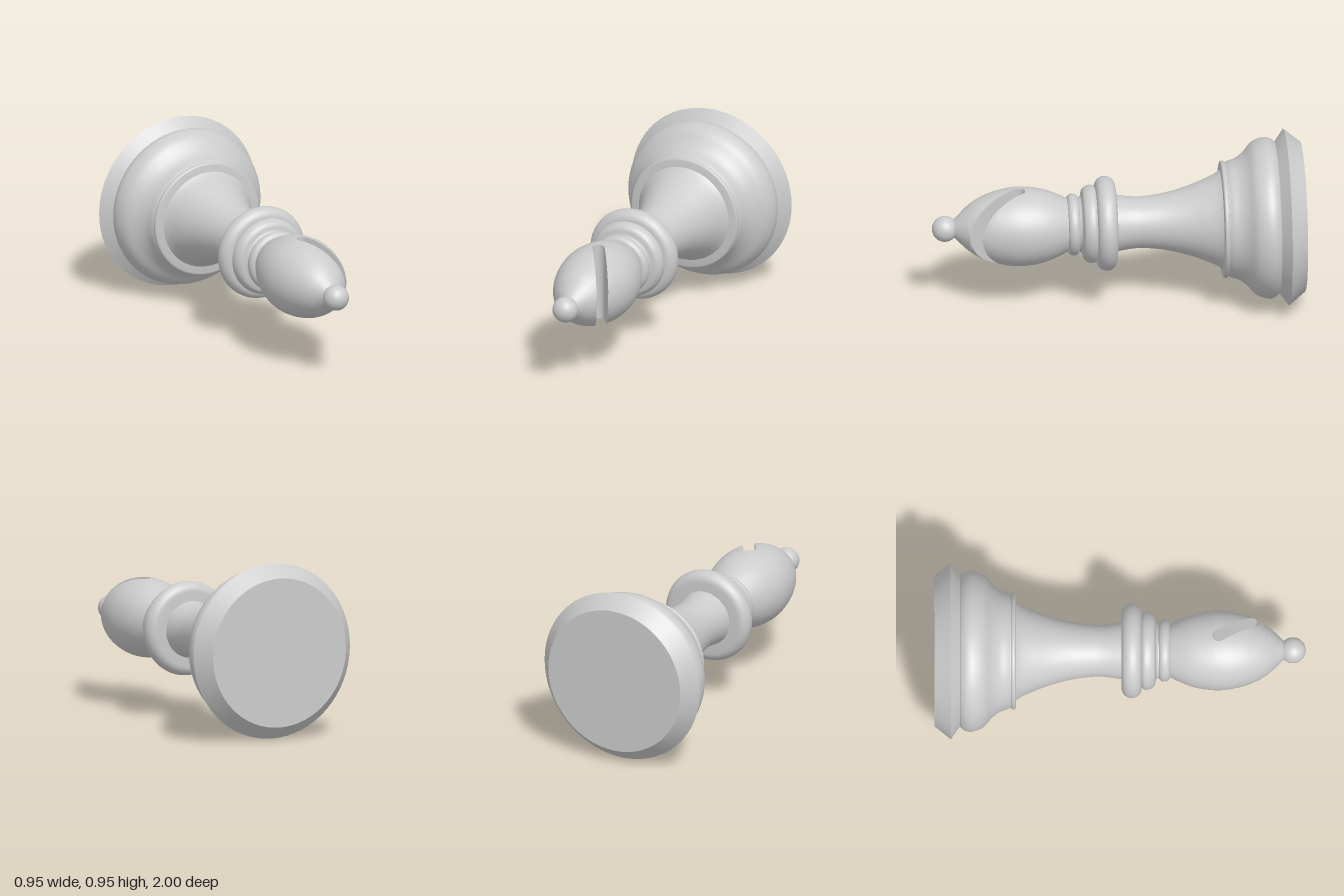
import * as THREE from 'three';
import { mergeGeometries, toCreasedNormals } from 'three/addons/utils/BufferGeometryUtils.js';

const AXIS_Y = 0.478; // height of the lying piece's axis
const grey = new THREE.MeshStandardMaterial({ color: 0xcccccc, side: THREE.DoubleSide });
const v2 = ([r, z]) => new THREE.Vector2(r, z);
const spline = (pts, n) => new THREE.SplineCurve(pts.map(v2)).getPoints(n);

// Creases are found at a larger scale, so fine detail is not welded together
function crease(geo, angle = 0.7) {
  geo.scale(10, 10, 10);
  const out = toCreasedNormals(geo, angle);
  return out.scale(0.1, 0.1, 0.1);
}

// Half-round bead profile from z0 to z1, bulging from rIn to rOut
function bead(rIn, rOut, z0, z1, n = 12) {
  const pts = [];
  for (let i = 0; i <= n; i++) {
    const a = -Math.PI / 2 + (Math.PI * i) / n;
    pts.push(v2([rIn + (rOut - rIn) * Math.cos(a), (z0 + z1) / 2 + ((z1 - z0) / 2) * Math.sin(a)]));
  }
  return pts;
}

// Turned part: profile of (radius, z), spun about the z axis
function turned(name, profile) {
  const geo = new THREE.LatheGeometry(profile, 64).rotateX(Math.PI / 2);
  const mesh = new THREE.Mesh(crease(geo), grey);
  mesh.name = name;
  return mesh;
}

// Head outline, looked up as radius at z
const headProfile = spline([[0.13, 0.25], [0.15, 0.28], [0.196, 0.39], [0.215, 0.52], [0.2, 0.64],
  [0.168, 0.73], [0.126, 0.8], [0.07, 0.86], [0.045, 0.885]], 80);
function headRadius(z) {
  const i = Math.max(1, headProfile.findIndex((p) => p.y >= z - 1e-9));
  const a = headProfile[i - 1], b = headProfile[i];
  return THREE.MathUtils.lerp(a.x, b.x, (z - a.y) / (b.y - a.y));
}

// Slanted slot with a round end: x of its two walls at z
const slot = { x: 0.008, z: 0.53, r: 0.033, cos: Math.cos(Math.PI / 6), sin: Math.sin(Math.PI / 6) };
function slotWall(z, side) {
  const { x, z: cz, r, cos, sin } = slot;
  const tangentZ = cz - side * r * sin;
  if (z < tangentZ) return x + side * Math.sqrt(Math.max(0, r * r - (z - cz) ** 2));
  return x + side * r * cos + ((z - tangentZ) * sin) / cos;
}

// Loft of circular sections cut by a vertical chord; side -1 keeps x < cut, +1 keeps x > cut
function cutLoft(zs, cutAt, side) {
  const ARC = 56, CHORD = 8, cols = ARC + CHORD, pos = [], index = [];
  zs.forEach((z, i) => {
    const R = headRadius(z);
    const cut = THREE.MathUtils.clamp(cutAt(z), -R, R);
    const a = Math.acos(cut / R);
    const from = side < 0 ? a : -a;
    const to = side < 0 ? 2 * Math.PI - a : a;
    const h = R * Math.sin(a);
    for (let j = 0; j <= ARC; j++) {
      const t = from + ((to - from) * j) / ARC;
      pos.push(R * Math.cos(t), R * Math.sin(t), z);
    }
    for (let j = 1; j < CHORD; j++) pos.push(cut, side * h * (1 - (2 * j) / CHORD), z);
    if (i === 0) return;
    for (let j = 0; j < cols; j++) {
      const k = (j + 1) % cols, p = (i - 1) * cols, q = i * cols;
      index.push(p + j, p + k, q + k, p + j, q + k, q + j);
    }
  });
  const geo = new THREE.BufferGeometry();
  geo.setAttribute('position', new THREE.Float32BufferAttribute(pos, 3));
  geo.setIndex(index);
  return geo;
}

// Rows from z0 to z1, packed closer near z0
const rows = (z0, z1, n, power = 1) =>
  Array.from({ length: n + 1 }, (_, i) => z0 + (z1 - z0) * (i / n) ** power);

export function createModel() {
  const model = new THREE.Group();
  model.name = 'bishopChessPiece';
  const body = new THREE.Group();
  body.name = 'body';
  body.position.y = AXIS_Y;
  model.add(body);

  // Foot: flat underside, sharp rim, rounded shoulder and a small lip
  body.add(turned('base', [
    ...[[0, -1], [0.405, -1], [0.476, -0.912], [0.405, -0.862]].map(v2),
    ...spline([[0.415, -0.857], [0.432, -0.83], [0.434, -0.79], [0.41, -0.735], [0.36, -0.69],
      [0.33, -0.65], [0.316, -0.61], [0.306, -0.59]], 28),
    ...bead(0.306, 0.317, -0.588, -0.562, 6),
    v2([0.24, -0.558]),
  ]));

  // Flared stem
  body.add(turned('stem', spline([[0.275, -0.57], [0.247, -0.53], [0.212, -0.45], [0.18, -0.36],
    [0.153, -0.25], [0.14, -0.14], [0.142, -0.07], [0.156, 0.02]], 40)));

  // Collar rings, stepping down toward the head
  body.add(turned('collar', [v2([0.1, 0.008]), ...bead(0.205, 0.256, 0.008, 0.116), v2([0.15, 0.116])]));
  body.add(turned('upperCollar', [v2([0.15, 0.11]), ...spline([[0.195, 0.112], [0.211, 0.13],
    [0.208, 0.16], [0.19, 0.185], [0.155, 0.195], [0.145, 0.215]], 20)]));
  body.add(turned('neckRing', [v2([0.13, 0.2]), ...bead(0.14, 0.168, 0.207, 0.27), v2([0.13, 0.272])]));

  // Head: whole below the slot, then split into a large and a small lobe
  const slotStart = slot.z - slot.r;
  const head = new THREE.Mesh(crease(mergeGeometries([
    cutLoft(rows(0.255, slotStart, 16), () => 1, -1),
    cutLoft(rows(slotStart, 0.884, 44, 1.6), (z) => slotWall(z, -1), -1),
    cutLoft(rows(slotStart, 0.75, 36, 1.6), (z) => slotWall(z, 1), 1),
  ])), grey);
  head.name = 'slottedHead';
  body.add(head);

  // Ball on the tip
  const finial = new THREE.Mesh(new THREE.SphereGeometry(0.07, 32, 20), grey);
  finial.name = 'finial';
  finial.position.z = 0.93;
  body.add(finial);

  return model;
}
